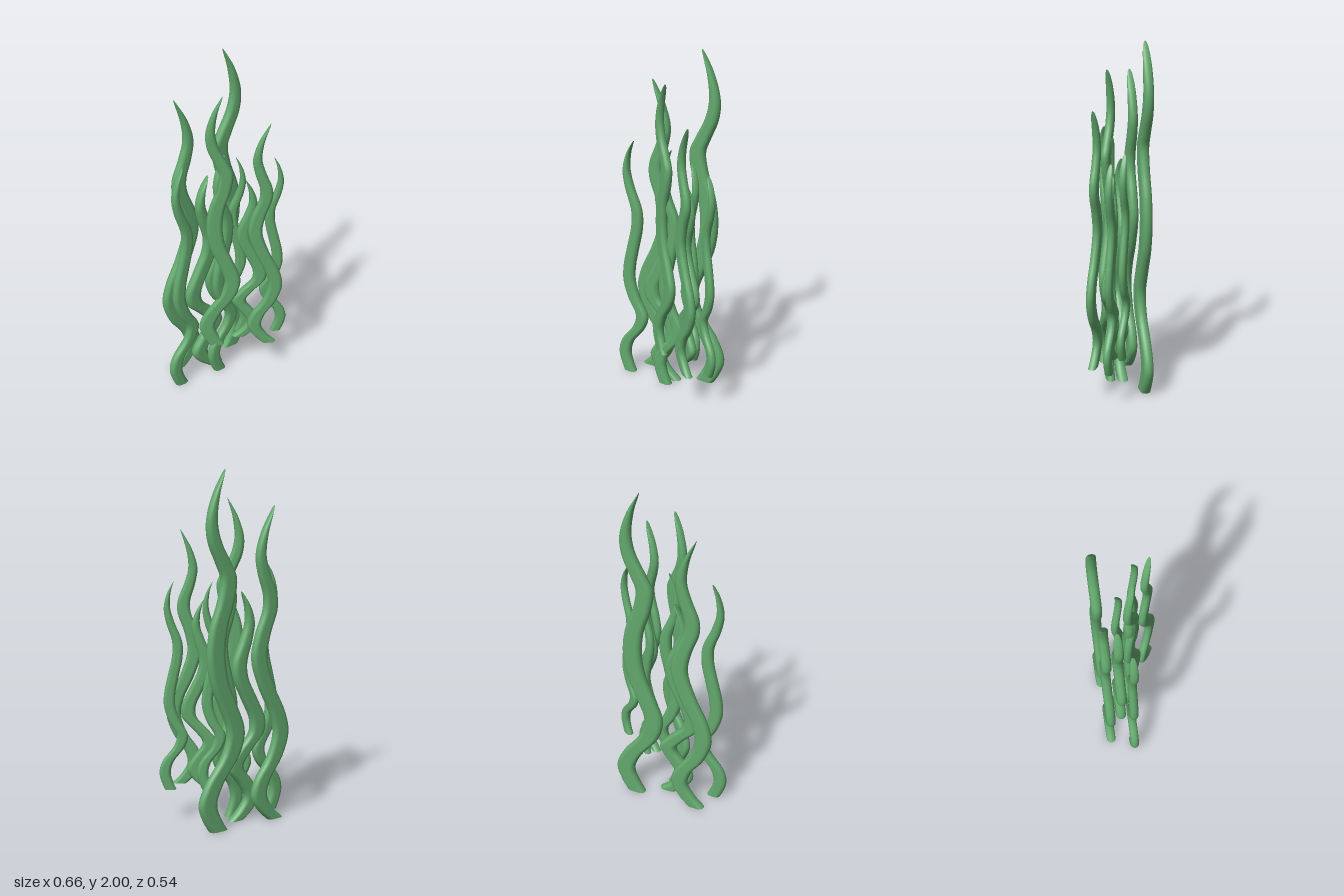
import * as THREE from 'three';

const HALF = 12, SIDES = HALF * 2, STEPS = 80;
const PLANE_ANGLE = THREE.MathUtils.degToRad(18);

// Wavy blade from stacked rounded bars: pointed seen broadside, rounded seen edge-on.
// Spine points are [sideways offset from the tip, height], base first.
function bladeGeometry(points, halfWidth, halfDepth) {
  const height = points[points.length - 1][1];
  const spine = new THREE.CatmullRomCurve3(
    points.map(([x, y]) => new THREE.Vector3(x / Math.cos(PLANE_ANGLE), y, 0)), false, 'centripetal');
  const pos = [], index = [];
  for (let i = 0; i <= STEPS; i++) {
    const p = spine.getPoint(1 - (1 - i / STEPS) ** 1.5);
    const t = THREE.MathUtils.clamp(p.y / height, 0, 1);
    const w = halfWidth * (1 - t ** 6);
    const d = halfDepth * Math.sqrt(1 - t ** 20);
    const core = Math.max(w - d, 0.15 * w);
    for (let j = 0; j < SIDES; j++) {
      const side = j < HALF ? 1 : -1;
      const a = ((j % HALF) / (HALF - 1) - 0.5) * Math.PI;
      pos.push(p.x + side * (core + (w - core) * Math.cos(a)), p.y, side * d * Math.sin(a));
      if (i === STEPS) continue;
      const a0 = i * SIDES + j, b0 = i * SIDES + (j + 1) % SIDES;
      index.push(a0, a0 + SIDES, b0, b0, a0 + SIDES, b0 + SIDES);
    }
  }
  // Flat foot with its own corners, so its edge stays sharp
  const first = pos.length / 3;
  pos.push(...pos.slice(0, SIDES * 3));
  for (let j = 1; j < SIDES - 1; j++) index.push(first, first + j, first + j + 1);

  const geo = new THREE.BufferGeometry();
  geo.setAttribute('position', new THREE.Float32BufferAttribute(pos, 3));
  geo.setIndex(index);
  geo.computeVertexNormals();
  return geo;
}

export function createModel() {
  const green = new THREE.MeshStandardMaterial({ color: 0x62a86d });
  green.name = 'leaf green';

  const tallest = bladeGeometry([
    [0.045, 0], [0.078, 0.06], [0.108, 0.16], [0.065, 0.28], [-0.035, 0.43],
    [-0.064, 0.56], [-0.02, 0.7], [0.035, 0.85], [0.055, 1], [0.04, 1.15],
    [-0.005, 1.3], [-0.02, 1.42], [0.01, 1.5], [0.062, 1.62], [0.078, 1.73],
    [0.052, 1.87], [0, 2],
  ], 0.056, 0.028);
  const tall = bladeGeometry([
    [-0.015, 0], [0.04, 0.06], [0.085, 0.15], [0.06, 0.25], [-0.01, 0.36],
    [-0.052, 0.5], [-0.03, 0.62], [0.04, 0.78], [0.088, 0.95], [0.068, 1.08],
    [0.022, 1.22], [0.022, 1.3], [0.06, 1.42], [0.08, 1.52], [0.06, 1.64], [0, 1.79],
  ], 0.05, 0.027);
  const medium = bladeGeometry([
    [-0.035, 0], [-0.055, 0.05], [-0.07, 0.12], [-0.05, 0.2], [0.027, 0.31],
    [0.045, 0.39], [-0.005, 0.49], [-0.036, 0.6], [-0.032, 0.7], [-0.01, 0.81],
    [0.018, 0.95], [0.016, 1.05], [-0.027, 1.18], [-0.046, 1.28], [-0.032, 1.38], [0, 1.46],
  ], 0.039, 0.025);
  const short = bladeGeometry([
    [0.035, 0], [-0.03, 0.06], [-0.065, 0.13], [-0.02, 0.22], [0.038, 0.32],
    [-0.02, 0.41], [-0.095, 0.5], [-0.1, 0.58], [-0.05, 0.7], [0.005, 0.83],
    [0.01, 0.92], [-0.03, 1.05], [-0.05, 1.14], [-0.037, 1.23], [0, 1.32],
  ], 0.05, 0.029);

  // Name, geometry, tip x, tip z
  const blades = [
    ['tallestBlade', tallest, 0.16, -0.12],
    ['tallBlade', tall, -0.14, -0.215],
    ['mediumBladeRight', medium, -0.22, -0.1],
    ['mediumBladeCentre', medium, 0.02, -0.004],
    ['shortBlade', short, -0.018, -0.088],
  ];

  function clump(name) {
    const group = new THREE.Group();
    group.name = name;
    for (const [bladeName, geometry, x, z] of blades) {
      const mesh = new THREE.Mesh(geometry, green);
      mesh.name = bladeName;
      mesh.position.set(x, 0, z);
      mesh.rotation.y = -PLANE_ANGLE;
      group.add(mesh);
    }
    return group;
  }

  const model = new THREE.Group();
  model.name = 'seaweed';
  // Large clump, and a smaller, raised and turned copy in front
  const large = clump('largeClump');
  const small = clump('smallClump');
  small.scale.setScalar(0.815);
  small.rotation.y = THREE.MathUtils.degToRad(-211);
  small.position.set(0.152, 0.2, -0.007);
  model.add(large, small);
  return model;
}
